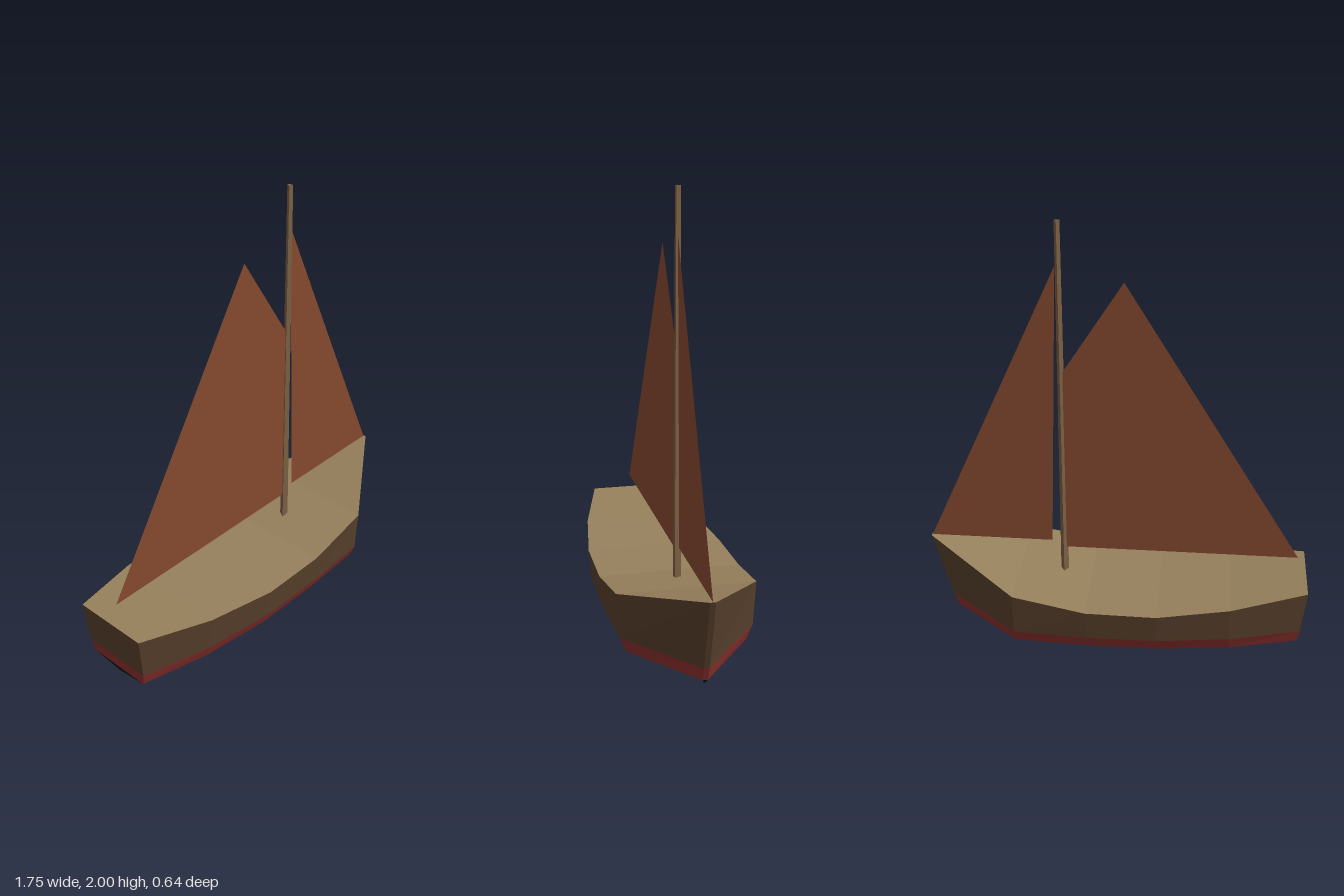
import * as THREE from 'three';

const mat = (color, side = THREE.FrontSide) =>
  new THREE.MeshStandardMaterial({ color, flatShading: true, side });

const V = (x, y, z) => new THREE.Vector3(x, y, z);
const mirror = (rail) => rail.map((p) => V(p.x, p.y, -p.z));

// Collects quads (corners counter-clockwise from outside) into one mesh
function quadMesh(name, quads, color) {
  const pts = quads.flatMap(([a, b, c, d]) => [a, b, c, a, c, d]);
  const g = new THREE.BufferGeometry().setFromPoints(pts);
  g.computeVertexNormals();
  const mesh = new THREE.Mesh(g, mat(color));
  mesh.name = name;
  return mesh;
}

// Strip of quads between two rails running stern to bow
const strip = (r1, r2) =>
  r1.slice(1).map((p, i) => [r1[i], p, r2[i + 1], r2[i]]);

// One colour band of the hull: both sides plus its share of transom and stem
function hullBand(name, lower, upper, color) {
  const lowerR = mirror(lower), upperR = mirror(upper), n = lower.length - 1;
  return quadMesh(name, [
    ...strip(lower, upper),
    ...strip(upperR, lowerR),
    [lowerR[0], lower[0], upper[0], upperR[0]],
    [lower[n], lowerR[n], upperR[n], upper[n]],
  ], color);
}

function sail(name, points) {
  const shape = new THREE.Shape(points.map(([x, y]) => new THREE.Vector2(x, y)));
  const mesh = new THREE.Mesh(new THREE.ShapeGeometry(shape), mat(0x85492f, THREE.DoubleSide));
  mesh.name = name;
  return mesh;
}

export function createModel() {
  const boat = new THREE.Group();
  boat.name = 'sailingBoat';

  // Hull stations from stern to bow: x, sheer height, keel height, half beam
  const stations = [
    [-0.875, 0.357, 0.06, 0.178],
    [-0.53, 0.31, 0.017, 0.27],
    [-0.2, 0.285, 0.004, 0.317],
    [0.12, 0.29, 0.002, 0.32],
    [0.45, 0.347, 0.017, 0.304],
    [0.875, 0.467, 0.06, 0.012],
  ];
  const last = stations.length - 1;
  // A rail at a given height; the ends rake inward towards the keel
  const rail = (height, beam, sternX, bowX) => stations.map(([x, sheer, keel, half], i) => V(
    i === 0 ? sternX : i === last ? bowX : x,
    height === 'sheer' ? sheer : height === 'keel' ? keel : height,
    half * (i === last && beam > 0 ? 1 : beam)));

  const sheer = rail('sheer', 1, -0.875, 0.875);
  const stripeTop = rail(0.147, 0.96, -0.853, 0.79);
  const chine = rail(0.082, 0.865, -0.843, 0.766);
  const keel = rail('keel', 0, -0.84, 0.75);

  const hull = new THREE.Group();
  hull.name = 'hull';
  hull.add(
    hullBand('topsides', stripeTop, sheer, 0x573f2b),
    hullBand('waterlineStripe', chine, stripeTop, 0x8b302d),
    hullBand('bottom', keel, chine, 0x141312),
    quadMesh('deck', strip(sheer, mirror(sheer)), 0x96805c),
  );
  boat.add(hull);

  // Three-sided tapering mast
  const mast = new THREE.Mesh(
    new THREE.CylinderGeometry(0.014, 0.021, 1.72, 3, 1, false, Math.PI), mat(0x7a5e41));
  mast.name = 'mast';
  mast.position.set(0.25, 1.14, 0);
  boat.add(mast);

  // Sails
  boat.add(
    sail('mainSail', [[-0.832, 0.435], [0.25, 0.435], [0.25, 1.31], [-0.027, 1.742]]),
    sail('jib', [[0.305, 0.467], [0.872, 0.467], [0.263, 1.805]]),
  );
  return boat;
}
